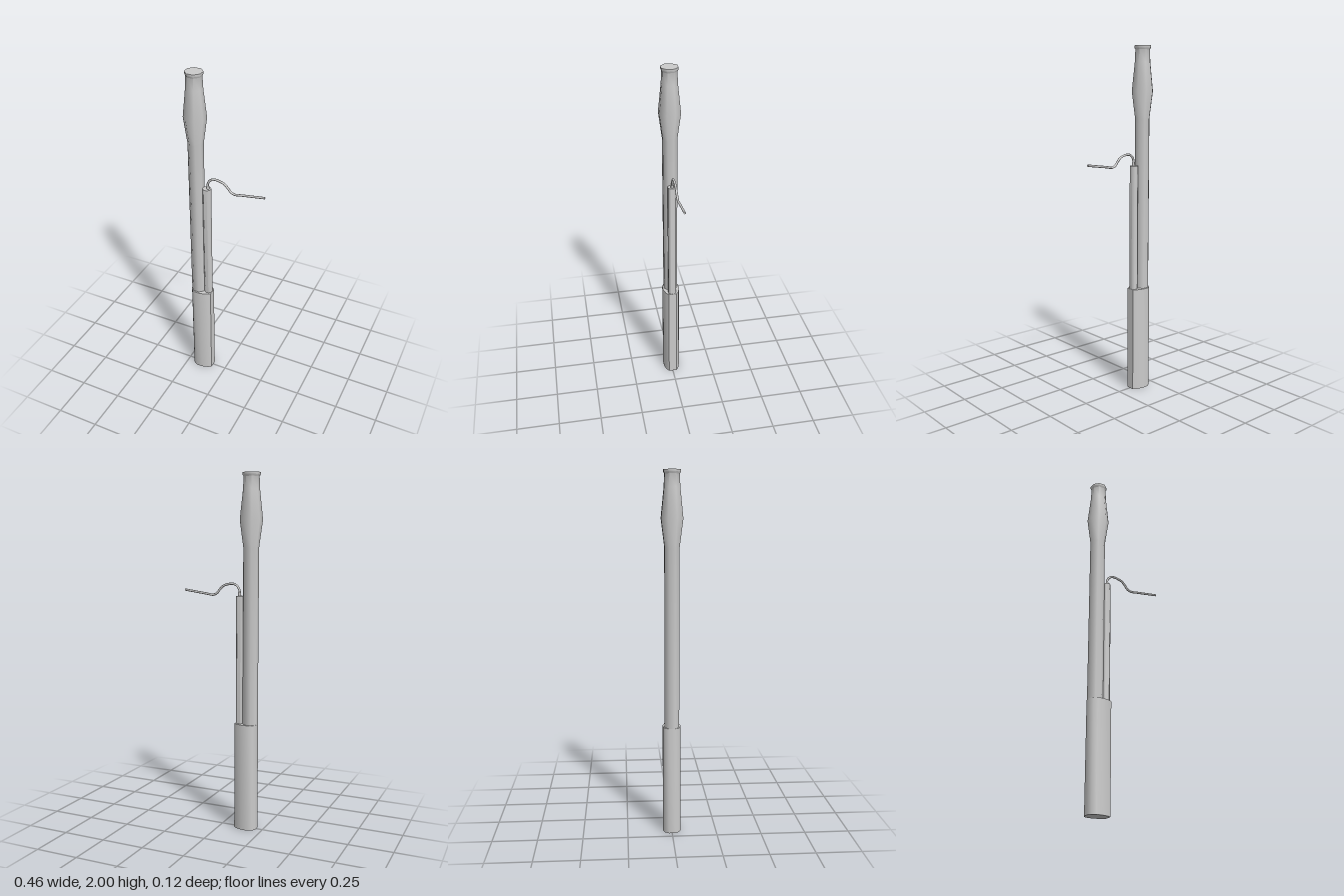
import * as THREE from 'three';
import { toCreasedNormals } from 'three/addons/utils/BufferGeometryUtils.js';

const V = (x, y, z) => new THREE.Vector3(x, y, z);

export function createModel() {
  const group = new THREE.Group();
  const material = new THREE.MeshStandardMaterial({ color: 0xcccccc });
  const add = (name, geometry, x = 0, y = 0, z = 0) => {
    const mesh = new THREE.Mesh(geometry, material);
    mesh.name = name;
    mesh.position.set(x, y, z);
    group.add(mesh);
  };
  // Eight-sided turned part from [radius, height] pairs, closed at both ends
  const turned = (profile) => toCreasedNormals(new THREE.LatheGeometry(
    profile.map(([r, y]) => new THREE.Vector2(r, y)), 8, Math.PI / 8), 0.9);

  // Long bore, swelling bell and rim
  add('longJointAndBell', turned([
    [0, 0.5], [0.043, 0.5], [0.043, 1.6], [0.063, 1.75], [0.046, 1.91],
    [0.043, 1.978], [0.049, 1.988], [0.049, 2], [0, 2],
  ]), -0.171);

  // Thin side bore
  add('wingJoint', turned([
    [0, 0.5], [0.0245, 0.5], [0.0245, 1.335], [0, 1.335],
  ]), -0.109);

  // Base block wrapping both bores, tapering toward the thin one
  const outline = [
    [-0.085, -0.024], [-0.085, 0.024], [-0.103, 0.038], [-0.14, 0.049],
    [-0.178, 0.049], [-0.2, 0.038], [-0.212, 0.018],
    [-0.212, -0.018], [-0.2, -0.038], [-0.178, -0.049],
    [-0.14, -0.049], [-0.103, -0.038],
  ];
  const boot = new THREE.ExtrudeGeometry(
    new THREE.Shape(outline.map(([x, y]) => new THREE.Vector2(x, y))),
    { depth: 0.615, bevelEnabled: false });
  boot.rotateX(-Math.PI / 2);
  add('bootJoint', toCreasedNormals(boot, 0.9));

  // Bent mouth pipe
  const path = new THREE.CatmullRomCurve3([
    V(-0.104, 1.32, -0.002), V(-0.104, 1.365, -0.002), V(-0.09, 1.39, -0.003),
    V(-0.065, 1.402, -0.003), V(-0.008, 1.39, -0.004), V(0.012, 1.372, -0.004),
    V(0.032, 1.348, -0.005), V(0.054, 1.338, -0.005), V(0.1, 1.344, -0.006),
    V(0.229, 1.362, -0.008),
  ]);
  add('mouthPipe', new THREE.TubeGeometry(path, 40, 0.0065, 8));

  // Disc closing the pipe's tip
  const tip = new THREE.CircleGeometry(0.0065, 8);
  tip.applyQuaternion(new THREE.Quaternion().setFromUnitVectors(V(0, 0, 1), path.getTangent(1)));
  add('mouthPipeTip', tip, 0.229, 1.362, -0.008);

  // Small collar where the pipe enters the side bore
  add('pipeCollar', new THREE.CylinderGeometry(0.008, 0.009, 0.02, 8), -0.104, 1.343, -0.002);

  return group;
}
